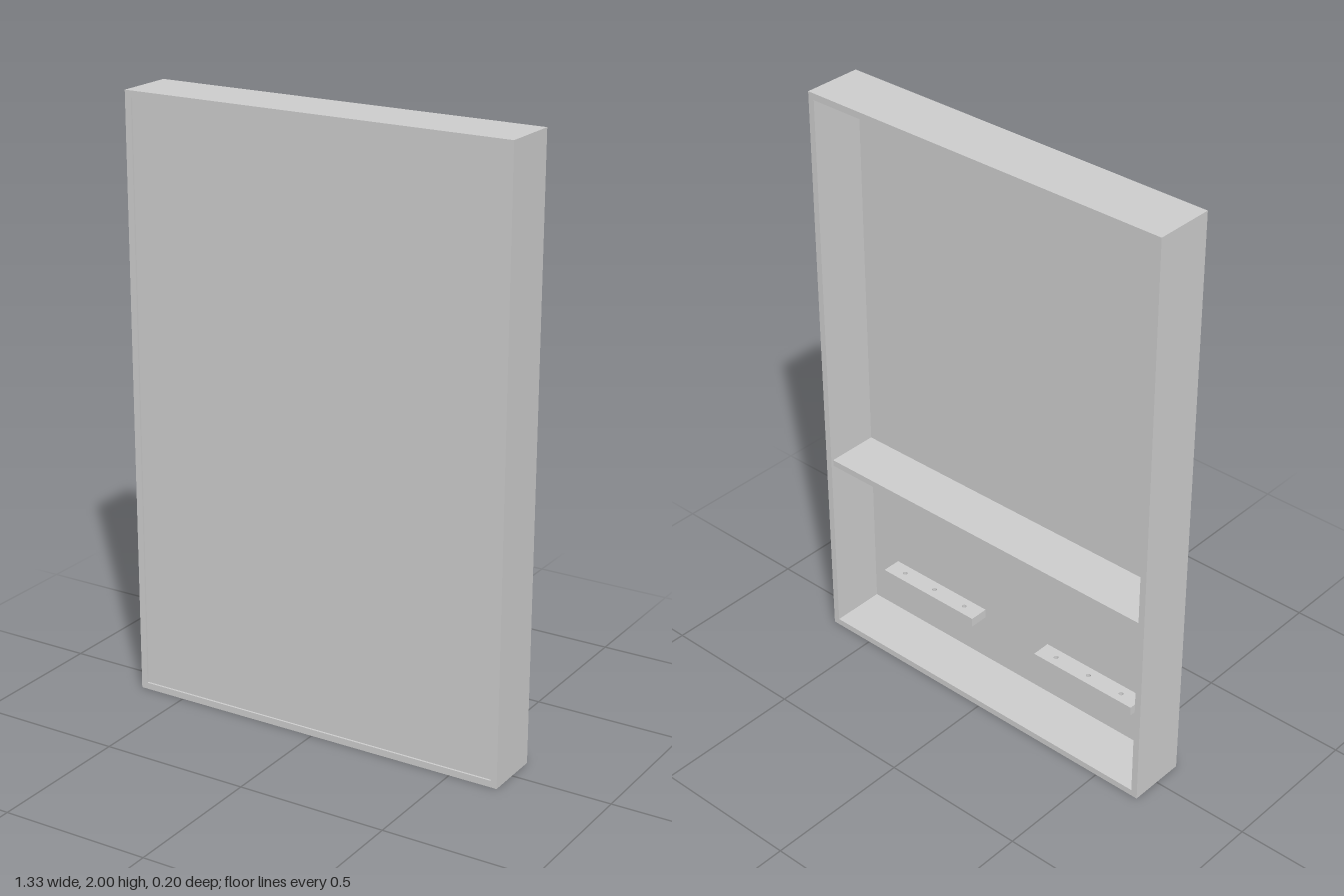
import * as THREE from 'three';

const material = new THREE.MeshStandardMaterial({ color: 0xcccccc, flatShading: true });
const W = 1.33, H = 2, D = 0.2, WALL = 0.022;
const PANEL_BACK = 0.086, PANEL_FRONT = 0.093;
const INNER = W - 2 * WALL;

// Box given by its lowest and highest corners
function box(name, [x0, y0, z0], [x1, y1, z1]) {
  const mesh = new THREE.Mesh(new THREE.BoxGeometry(x1 - x0, y1 - y0, z1 - z0), material);
  mesh.position.set((x0 + x1) / 2, (y0 + y1) / 2, (z0 + z1) / 2);
  mesh.name = name;
  return mesh;
}

// Rectangle drawn as a path, for outlines and openings
function rect(path, x0, y0, x1, y1) {
  path.moveTo(x0, y0);
  path.lineTo(x1, y0);
  path.lineTo(x1, y1);
  path.lineTo(x0, y1);
  path.closePath();
  return path;
}

// Rectangular frame with an open middle
function frame() {
  const shape = rect(new THREE.Shape(), -W / 2, 0, W / 2, H);
  shape.holes.push(rect(new THREE.Path(), -W / 2 + WALL, WALL, W / 2 - WALL, H - WALL));
  const geometry = new THREE.ExtrudeGeometry(shape, { depth: D, bevelEnabled: false });
  geometry.translate(0, 0, -D / 2);
  const mesh = new THREE.Mesh(geometry, material);
  mesh.name = 'frame';
  return mesh;
}

// Small ledge with three upright holes, fixed to the back of the panel
function ledge(name, side) {
  const length = 0.4, depth = 0.066, height = 0.032, top = 0.22;
  const shape = rect(new THREE.Shape(), -length / 2, -depth / 2, length / 2, depth / 2);
  for (const x of [-0.135, 0, 0.135]) {
    shape.holes.push(new THREE.Path().absarc(x, 0, 0.008, 0, Math.PI * 2, true));
  }
  const geometry = new THREE.ExtrudeGeometry(shape, { depth: height, bevelEnabled: false, curveSegments: 16 });
  geometry.rotateX(-Math.PI / 2);
  const mesh = new THREE.Mesh(geometry, material);
  mesh.position.set(side * 0.335, top - height, PANEL_BACK - depth / 2);
  mesh.name = name;
  return mesh;
}

export function createModel() {
  const model = new THREE.Group();
  model.name = 'shallowCabinet';
  model.add(
    frame(),
    // Front panel, set slightly behind the frame edge
    box('frontPanel', [-INNER / 2, WALL, PANEL_BACK], [INNER / 2, H - WALL, PANEL_FRONT]),
    // Shelf across the open back
    box('shelf', [-INNER / 2, 0.658, -0.092], [INNER / 2, 0.68, PANEL_BACK]),
    ledge('leftLedge', 1),
    ledge('rightLedge', -1),
  );
  return model;
}
